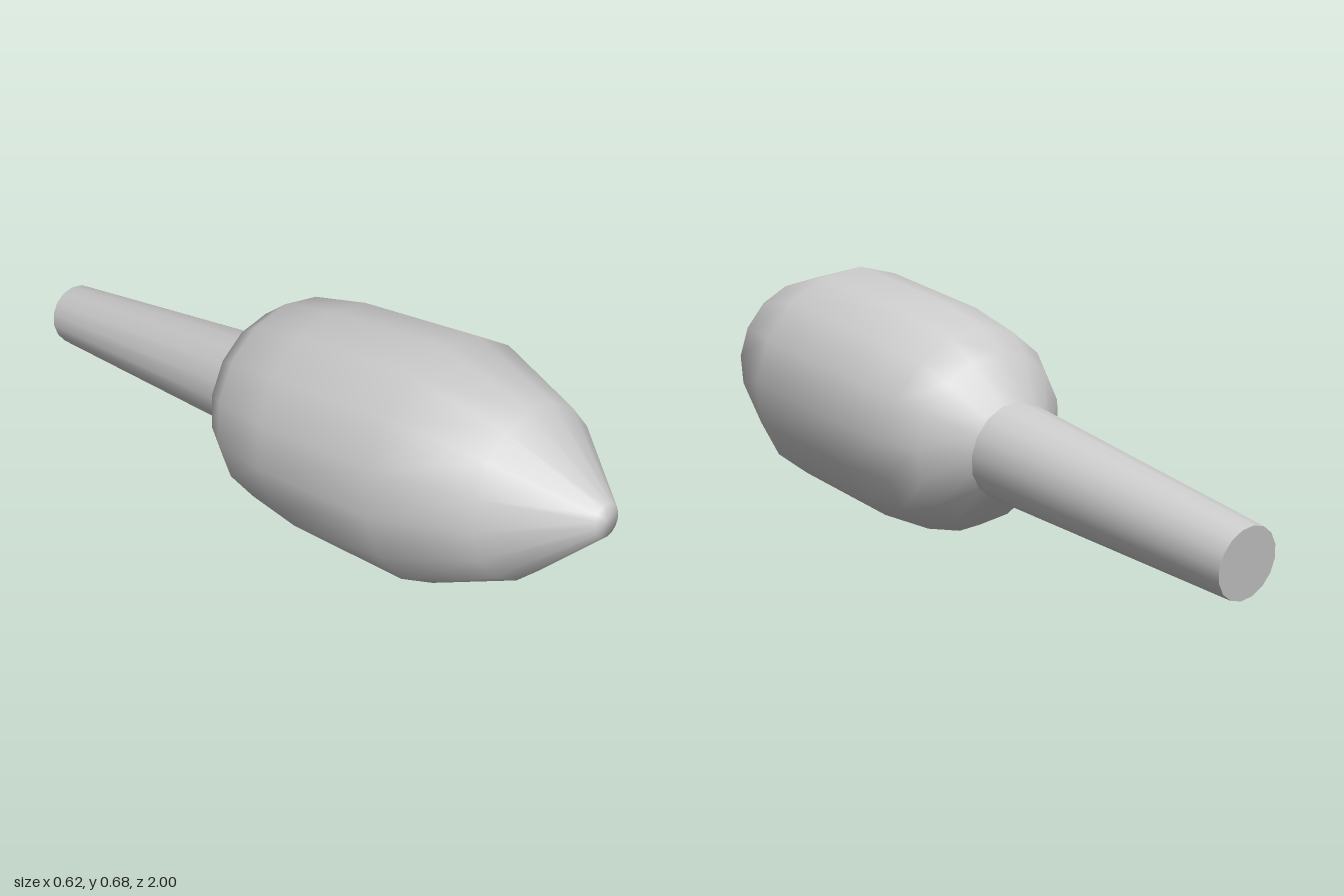
import * as THREE from 'three';

const SIDES = 16;

// Turned part from [radius, distance along axis] pairs
function turned(name, profile, material) {
  const points = profile.map(([r, s]) => new THREE.Vector2(r, s));
  const mesh = new THREE.Mesh(new THREE.LatheGeometry(points, SIDES), material);
  mesh.name = name;
  return mesh;
}

export function createModel() {
  const model = new THREE.Group();
  model.name = 'clubTool';
  const grey = new THREE.MeshStandardMaterial({ color: 0xcccccc });

  // Tapered handle, open where it meets the head
  model.add(turned('handle', [[0.09, 0], [0.132, 0.818]], grey));

  // Flat cap at the free end of the handle
  const cap = new THREE.Mesh(new THREE.CircleGeometry(0.09, SIDES), grey);
  cap.name = 'handleEnd';
  cap.rotation.x = Math.PI / 2;
  model.add(cap);

  // Swollen, smooth head closing in a small blunt tip
  model.add(turned('head', [
    [0.132, 0.818], [0.2335, 0.907], [0.2805, 0.988], [0.3055, 1.166],
    [0.3125, 1.55], [0.2175, 1.797], [0.0415, 2.007], [0, 2.008],
  ], grey));

  // Lay the axis forward, with the head raised
  model.rotation.x = THREE.MathUtils.degToRad(79.8);
  model.position.set(0, 0.105, -0.984);

  const root = new THREE.Group();
  root.add(model);
  return root;
}
